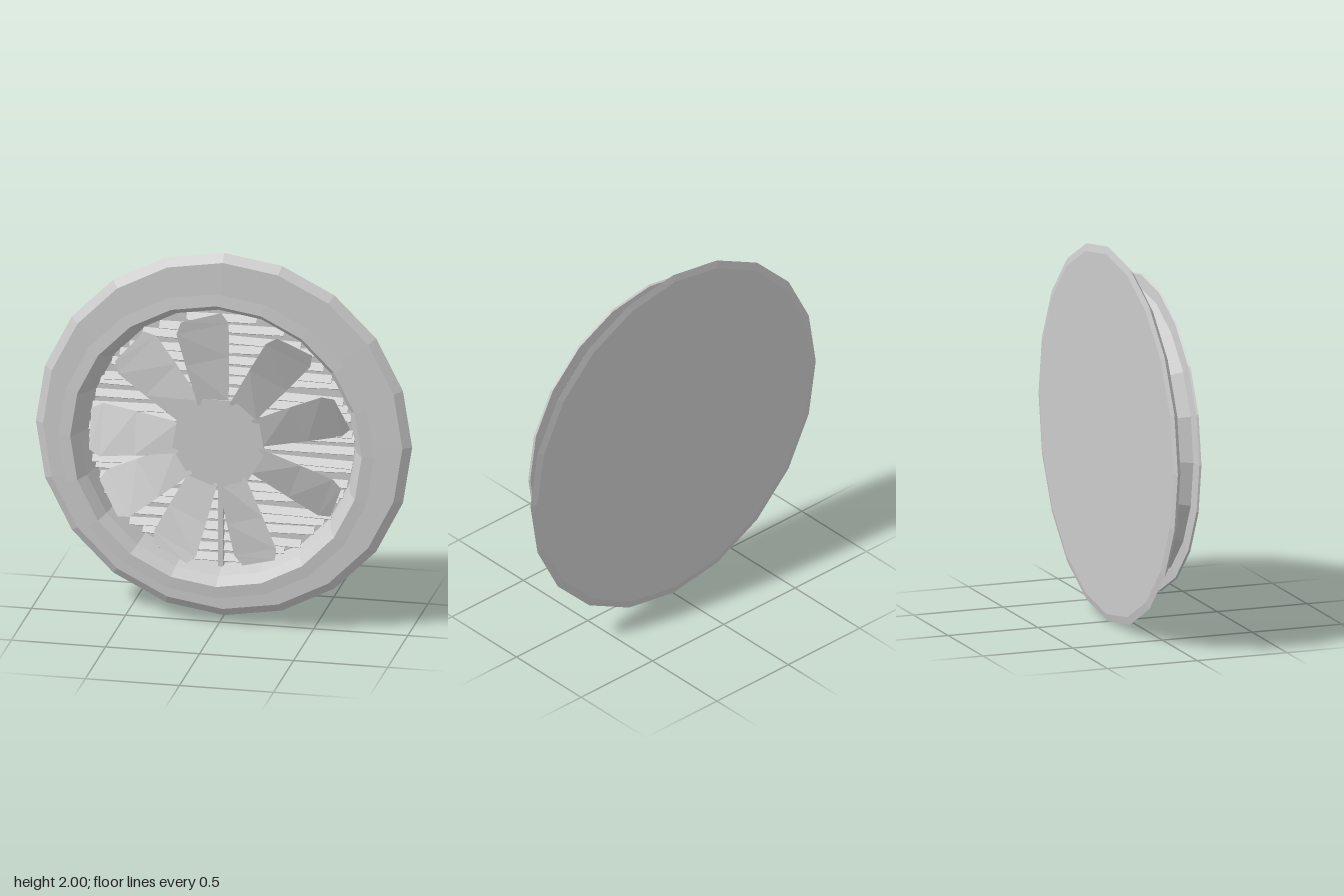
import * as THREE from 'three';

export function createModel() {
  const group = new THREE.Group();
  const wheel = new THREE.Group(); // centred on the axle, axle along z
  wheel.name = 'fanWheel';
  wheel.position.y = 1;
  group.add(wheel);
  const mat = new THREE.MeshStandardMaterial({ color: 0xcccccc, flatShading: true });
  const thin = new THREE.MeshStandardMaterial({ color: 0xcccccc, flatShading: true, side: THREE.DoubleSide });

  const add = (name, geo, material = mat) => {
    const mesh = new THREE.Mesh(geo, material);
    mesh.name = name;
    wheel.add(mesh);
    return mesh;
  };
  // Turns a [radius, z] profile about the z axis
  const turn = (profile, sides) =>
    new THREE.LatheGeometry(profile.map(([r, z]) => new THREE.Vector2(r, z)), sides).rotateX(Math.PI / 2);

  // Housing: solid back plate, wide rear flange, flared barrel, front lip and open bowl
  add('housing', turn([
    [0, -0.118], [0.96, -0.118], [1, -0.108], [0.955, -0.076], [0.745, -0.072],
    [0.742, 0], [0.77, 0.068], [0.835, 0.076], [0.84, 0.086], [0.775, 0.092],
    [0.735, 0.03], [0.705, -0.09], [0, -0.09],
  ], 20));

  // Tilted grille slats, each cut to the chord of the opening, lying a little unevenly
  const count = 24;
  for (let i = 0; i < count; i++) {
    const y = -0.66 + (1.32 * i) / (count - 1);
    const length = 2 * Math.sqrt(0.705 ** 2 - (Math.abs(y) + 0.02) ** 2);
    const slat = add('grilleSlat', new THREE.BoxGeometry(length, 0.045, 0.006));
    slat.position.set(0, y, -0.055);
    slat.rotation.set(-0.7, 0, 0.03 * Math.sin(i * 2.3));
  }

  // Upright brace below the hub
  add('grilleBrace', new THREE.BoxGeometry(0.025, 0.5, 0.04)).position.set(0, -0.45, -0.04);

  // Hub with a flat front
  add('hub', turn([[0, -0.09], [0.22, -0.09], [0.25, 0.03], [0, 0.03]], 9));

  // Pitched blade, widening outward to a clipped tip: rows of [radius, half width, half pitch depth]
  const rows = [[0.22, 0.08, 0.015], [0.45, 0.11, 0.035], [0.63, 0.13, 0.05], [0.69, 0.1, 0.04]];
  const corners = [];
  for (const [r, w, d] of rows) corners.push(r, -w, 0.018 - d, r - 0.01, w, 0.018 + d);
  const blade = new THREE.BufferGeometry();
  blade.setAttribute('position', new THREE.Float32BufferAttribute(corners, 3));
  const index = [];
  for (let i = 0; i < rows.length - 1; i++) {
    const a = 2 * i;
    index.push(a, a + 2, a + 3, a, a + 3, a + 1);
  }
  blade.setIndex(index);
  blade.computeVertexNormals();
  // Blades sit at slightly uneven angles around the hub
  for (const angle of [98, 54, 17, -25, -72, -112, -149, 178, 134])
    add('blade', blade, thin).rotation.z = THREE.MathUtils.degToRad(angle);

  return group;
}
